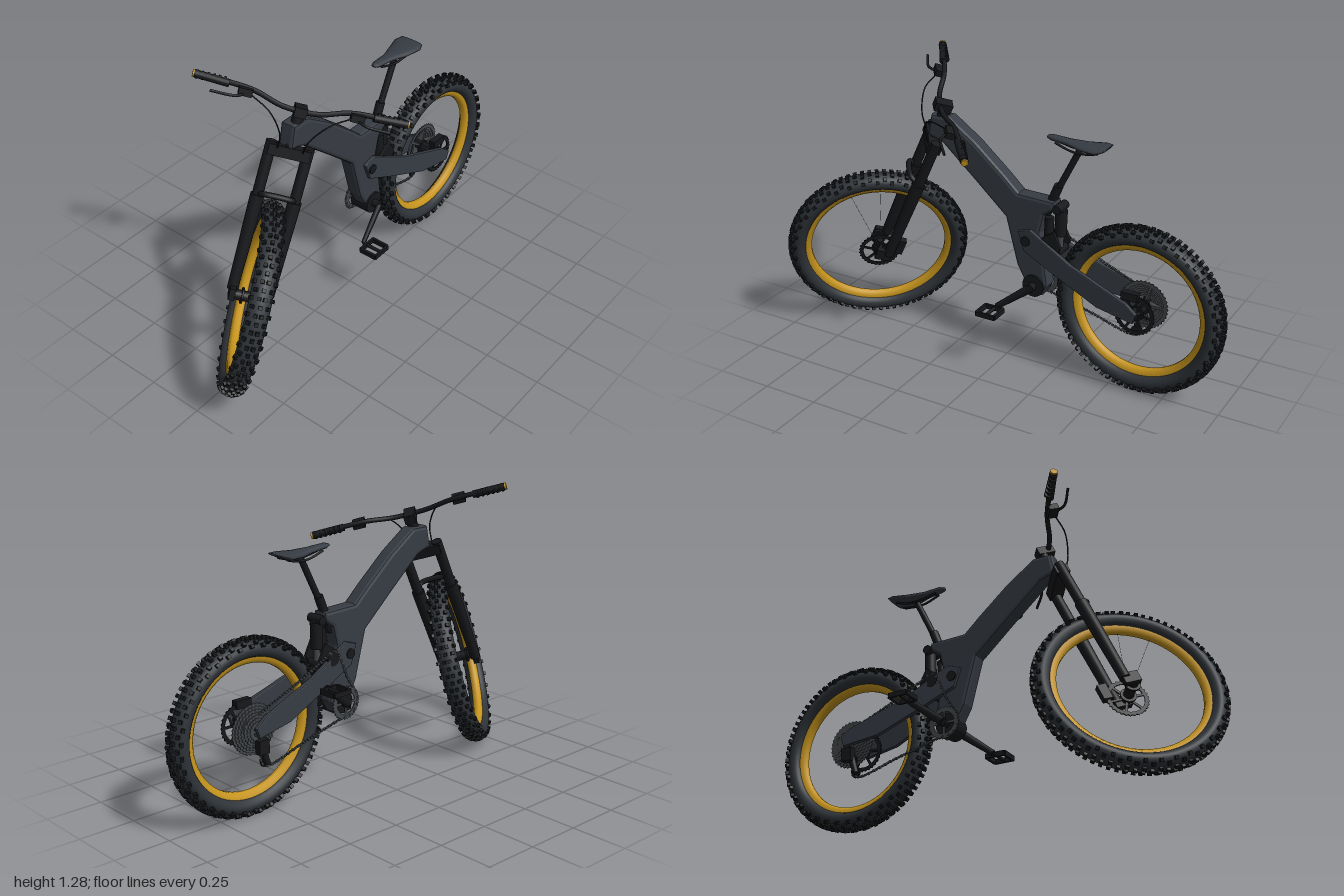
import * as THREE from 'three';
import { mergeGeometries } from 'three/addons/utils/BufferGeometryUtils.js';

const mat = (color) => new THREE.MeshStandardMaterial({ color, side: THREE.DoubleSide });
const FRAME = mat(0x363b43), RUBBER = mat(0x2e3338), BLACK = mat(0x17181b), GOLD = mat(0xc8961e), STEEL = mat(0x44474b);
const V = (x, y, z) => new THREE.Vector3(x, y, z);

function add(parent, name, geo, material, x = 0, y = 0, z = 0) {
  const mesh = new THREE.Mesh(geo, material);
  mesh.name = name;
  mesh.position.set(x, y, z);
  parent.add(mesh);
  return mesh;
}

// Tapered rod between two points
function rod(parent, name, a, b, r1, r2 = r1, material = BLACK, sides = 16) {
  const m = add(parent, name, new THREE.CylinderGeometry(r2, r1, a.distanceTo(b), sides), material);
  m.position.copy(a).lerp(b, 0.5);
  m.quaternion.setFromUnitVectors(V(0, 1, 0), b.clone().sub(a).normalize());
  return m;
}

// Cylinder lying along z
const disc = (parent, name, r, w, x, y, z, material = BLACK, r2 = r) =>
  add(parent, name, new THREE.CylinderGeometry(r, r2, w, 28).rotateX(Math.PI / 2), material, x, y, z);

const tube = (parent, name, pts, r, material = BLACK, closed = false) =>
  add(parent, name, new THREE.TubeGeometry(new THREE.CatmullRomCurve3(pts, closed, 'centripetal'), 36, r, 8, closed), material);

// Side outline extruded to a plate centred on z = 0
function plate(points, width, bevel) {
  const shape = new THREE.Shape(points.map((p) => new THREE.Vector2(...p)));
  return new THREE.ExtrudeGeometry(shape, {
    depth: width - 2 * bevel, bevelEnabled: bevel > 0, bevelSize: bevel, bevelThickness: bevel,
    bevelOffset: -bevel, bevelSegments: 2,
  }).translate(0, 0, bevel - width / 2);
}

// Flat ring with spokes: brake rotor, chainring
function spokedRing(parent, name, outer, inner, spokes, teeth, x, y, z, material = STEEL) {
  const shape = new THREE.Shape();
  for (let i = 0; i < teeth * 2; i++) {
    const a = (i / teeth) * Math.PI, r = outer - (i % 2) * 0.006;
    shape[i ? 'lineTo' : 'moveTo'](r * Math.cos(a), r * Math.sin(a));
  }
  shape.holes.push(new THREE.Path().absarc(0, 0, inner, 0, Math.PI * 2, true));
  const parts = [new THREE.ExtrudeGeometry(shape, { depth: 0.005, bevelEnabled: false }).toNonIndexed()];
  for (let i = 0; i < spokes; i++) {
    parts.push(new THREE.BoxGeometry(inner, 0.011, 0.005).toNonIndexed().translate(inner / 2 + 0.002, 0, 0.0025)
      .rotateZ((i / spokes) * Math.PI * 2));
  }
  return add(parent, name, mergeGeometries(parts), material, x, y, z);
}

// Wheel in the xy plane: knobbly tyre, gold rim, hub
function wheel(name, ringR, knobH) {
  const g = new THREE.Group();
  g.name = name;
  const a = 0.036, b = 0.045, inner = ringR - a;
  add(g, 'tyre', new THREE.TorusGeometry(ringR, a, 16, 72).scale(1, 1, b / a), RUBBER);
  const knobs = [], rows = 76;
  for (let i = 0; i < rows; i++) {
    for (const u of i % 2 ? [-1.05, -0.25, 0.25, 1.05] : [-0.7, 0, 0.7]) {
      knobs.push(new THREE.BoxGeometry(knobH, 0.015, 0.015).rotateY(-u)
        .translate(ringR + (a + knobH * 0.35) * Math.cos(u), 0, (b + knobH * 0.35) * Math.sin(u))
        .rotateZ((i / rows) * Math.PI * 2));
    }
  }
  add(g, 'tyreKnobs', mergeGeometries(knobs), BLACK);
  const rim = [[inner + 0.008, -0.022], [inner - 0.008, -0.02], [inner - 0.022, -0.009], [inner - 0.022, 0.009],
    [inner - 0.008, 0.02], [inner + 0.008, 0.022]].map((p) => new THREE.Vector2(...p));
  add(g, 'rim', new THREE.LatheGeometry(rim, 64).rotateX(Math.PI / 2), GOLD);
  disc(g, 'hub', 0.022, 0.13, 0, 0, 0);
  for (const s of [-1, 1]) disc(g, 'hubFlange', 0.034, 0.008, 0, 0, s * 0.035);
  spokedRing(g, 'brakeRotor', 0.092, 0.072, 6, 30, 0, 0, 0.05, BLACK);
  return g;
}

function buildSteering() {
  const g = new THREE.Group();
  g.name = 'steering';
  g.position.set(-0.375, 0.955, -0.01);
  g.rotation.order = 'ZYX';
  g.rotation.set(0, THREE.MathUtils.degToRad(41), THREE.MathUtils.degToRad(-25));

  const front = wheel('frontWheel', 0.36, 0.012);
  front.position.set(-0.04, -0.625, 0);
  g.add(front);
  for (const a of [1.85, 2.3]) {
    rod(front, 'spoke', V(0, 0, 0.035), V(0.3 * Math.cos(a), 0.3 * Math.sin(a), 0), 0.0007, 0.0007, STEEL, 4);
  }

  // Fork
  add(g, 'forkCrown', new THREE.BoxGeometry(0.06, 0.045, 0.17), BLACK, 0, 0, 0);
  rod(g, 'steererTube', V(0, 0, 0), V(0, 0.19, 0), 0.024);
  for (const s of [-1, 1]) {
    const z = s * 0.076;
    rod(g, 'stanchion', V(0, 0.03, z), V(0, -0.3, z), 0.023);
    rod(g, 'lowerLeg', V(0, -0.62, z), V(0, -0.2, z), 0.023, 0.029);
    add(g, 'dropout', new THREE.BoxGeometry(0.07, 0.05, 0.026), BLACK, -0.022, -0.625, z);
  }
  tube(g, 'forkArch', [V(0, -0.2, -0.07), V(-0.035, -0.185, -0.06), V(-0.045, -0.18, 0), V(-0.035, -0.185, 0.06), V(0, -0.2, 0.07)], 0.012);
  add(g, 'brakeCaliper', new THREE.BoxGeometry(0.04, 0.075, 0.03), BLACK, 0.04, -0.575, 0.055);

  // Stem and handlebar
  add(g, 'stem', new THREE.BoxGeometry(0.075, 0.04, 0.05), BLACK, -0.015, 0.175, 0);
  const bar = [-1, 1].flatMap((s) => {
    const half = [V(0.015, 0.215, s * 0.43), V(0, 0.21, s * 0.2), V(-0.025, 0.18, s * 0.07)];
    return s < 0 ? half : half.reverse();
  });
  tube(g, 'handlebar', bar, 0.011);
  for (const s of [-1, 1]) {
    rod(g, 'grip', V(0.015, 0.215, s * 0.43), V(0.005, 0.211, s * 0.29), 0.016);
    for (let i = 0; i < 6; i++) {
      rod(g, 'gripRib', V(0.015, 0.214, s * (0.305 + i * 0.022)), V(0.015, 0.214, s * (0.314 + i * 0.022)), 0.018);
    }
    rod(g, 'gripCap', V(0.015, 0.215, s * 0.428), V(0.015, 0.215, s * 0.437), 0.015, 0.015, GOLD);
    add(g, 'leverClamp', new THREE.BoxGeometry(0.045, 0.03, 0.055), BLACK, -0.015, 0.2, s * 0.225);
    tube(g, 'brakeLever', [V(-0.02, 0.195, s * 0.22), V(-0.055, 0.185, s * 0.26), V(-0.05, 0.18, s * 0.36)], 0.006);
    tube(g, 'brakeCable', [V(-0.03, 0.195, s * 0.2), V(-0.08, 0.16, s * 0.12), V(-0.07, 0.08, s * 0.06), V(-0.02, 0, s * 0.05)], 0.003);
  }
  return g;
}

function buildFrame() {
  const g = new THREE.Group();
  g.name = 'frame';
  g.position.z = -0.02;
  const outline = [[-0.365, 1.075], [-0.28, 1.075], [-0.15, 0.985], [-0.01, 0.865], [0.06, 0.8], [0.23, 0.795], [0.235, 0.76],
    [0.185, 0.725], [0.165, 0.64], [0.19, 0.5], [0.205, 0.4], [0.175, 0.345], [0.12, 0.35], [0.055, 0.47], [0, 0.68],
    [-0.15, 0.815], [-0.31, 0.955], [-0.385, 0.98]];
  add(g, 'mainFrame', plate(outline, 0.075, 0.015), FRAME);

  // Swingarm sides splay out towards the rear axle
  const arm = [[0.07, 0.635], [0.13, 0.655], [0.33, 0.545], [0.6, 0.445], [0.645, 0.41], [0.63, 0.365], [0.46, 0.39], [0.25, 0.48], [0.1, 0.55]];
  for (const s of [-1, 1]) {
    const geo = plate(arm, 0.02, 0.005), p = geo.attributes.position;
    for (let i = 0; i < p.count; i++) p.setZ(i, p.getZ(i) + s * (0.045 + (p.getX(i) - 0.1) * 0.08));
    geo.computeVertexNormals();
    add(g, 'swingarm', geo, FRAME);
    disc(g, 'pivotCap', 0.022, 0.012, 0.11, 0.6, s * 0.056);
    add(g, 'shockLink', plate([[0.14, 0.6], [0.24, 0.67], [0.275, 0.6], [0.22, 0.52]], 0.014, 0.003), BLACK, 0, 0, s * 0.045);
  }
  disc(g, 'rearAxle', 0.014, 0.19, 0.62, 0.4, 0);
  disc(g, 'bottomBracket', 0.05, 0.09, 0.14, 0.39, 0);

  // Shock
  rod(g, 'shockShaft', V(0.245, 0.56, 0), V(0.25, 0.76, 0), 0.014, 0.014, STEEL);
  rod(g, 'shockBody', V(0.246, 0.64, 0), V(0.25, 0.755, 0), 0.026);
  rod(g, 'shockReservoir', V(0.2, 0.61, 0.02), V(0.205, 0.72, 0.02), 0.02);
  for (const y of [0.57, 0.765]) disc(g, 'shockMount', 0.02, 0.08, 0.245, y, 0);

  // Seat post and saddle built from cross-sections
  rod(g, 'seatTube', V(0.17, 0.7, 0), V(0.235, 0.86, 0), 0.02);
  rod(g, 'seatPost', V(0.225, 0.83, 0), V(0.325, 1.03, 0), 0.014);
  for (const s of [-1, 1]) tube(g, 'saddleRail', [V(0.22, 1.05, s * 0.012), V(0.3, 1.03, s * 0.02), V(0.36, 1.03, s * 0.022), V(0.42, 1.045, s * 0.03)], 0.005);
  const sections = [[0.182, 1.068, 0.012, 0.006], [0.2, 1.067, 0.02, 0.012], [0.28, 1.06, 0.026, 0.014],
    [0.35, 1.055, 0.05, 0.015], [0.42, 1.058, 0.068, 0.015], [0.45, 1.064, 0.055, 0.006]];
  const n = 14, pos = [], idx = [];
  for (const [x, y, w, h] of sections) {
    for (let i = 0; i < n; i++) pos.push(x, y + h * Math.sin(i / n * Math.PI * 2), w * Math.cos(i / n * Math.PI * 2));
  }
  for (let j = 0; j < sections.length - 1; j++) {
    for (let i = 0; i < n; i++) {
      const a = j * n + i, b = j * n + (i + 1) % n;
      idx.push(a, b, a + n, b, b + n, a + n);
    }
  }
  const last = (sections.length - 1) * n;
  for (let i = 1; i < n - 1; i++) idx.push(0, i + 1, i, last, last + i, last + i + 1);
  const saddle = new THREE.BufferGeometry();
  saddle.setAttribute('position', new THREE.Float32BufferAttribute(pos, 3));
  saddle.setIndex(idx);
  saddle.computeVertexNormals();
  add(g, 'saddle', saddle, FRAME);

  const rear = wheel('rearWheel', 0.328, 0.018);
  rear.position.set(0.62, 0.385, 0);
  g.add(rear);
  add(g, 'rearCaliper', new THREE.BoxGeometry(0.075, 0.035, 0.03), BLACK, 0.6, 0.47, 0.055);
  return g;
}

function buildDrivetrain() {
  const g = new THREE.Group();
  g.name = 'drivetrain';
  g.position.z = -0.02;
  disc(g, 'crankAxle', 0.018, 0.15, 0.14, 0.39, 0);
  spokedRing(g, 'chainring', 0.075, 0.05, 4, 30, 0.14, 0.39, -0.062);
  for (let i = 0; i < 7; i++) spokedRing(g, 'sprocket', 0.11 - i * 0.011, 0.09 - i * 0.011, 5, 36 - i * 3, 0.62, 0.39, -0.045 - i * 0.005);

  // Cranks and cage pedals on opposite sides
  for (const s of [-1, 1]) {
    const x = 0.14 - s * 0.145, y = 0.39 - s * 0.11;
    const end = V(x, y, s * 0.1);
    const crank = rod(g, 'crankArm', V(0.14, 0.39, s * 0.075), end, 0.02, 0.014);
    crank.scale.z = 0.7;
    const out = s * 0.16;
    rod(g, 'pedalAxle', end, V(x, y, out + s * 0.045), 0.008);
    for (const d of [-1, 1]) {
      add(g, 'pedalCage', new THREE.BoxGeometry(0.012, 0.022, 0.08), BLACK, x + d * 0.043, y, out);
      add(g, 'pedalCage', new THREE.BoxGeometry(0.09, 0.022, 0.01), BLACK, x, y, out + d * 0.04);
    }
  }

  // Idler, derailleur and chain links
  disc(g, 'idler', 0.032, 0.01, 0.21, 0.6, -0.06);
  add(g, 'derailleurBody', new THREE.BoxGeometry(0.05, 0.06, 0.03), BLACK, 0.61, 0.325, -0.085);
  rod(g, 'derailleurCage', V(0.6, 0.32, -0.07), V(0.575, 0.24, -0.07), 0.014);
  for (const [x, y] of [[0.6, 0.31], [0.58, 0.245]]) disc(g, 'jockeyWheel', 0.022, 0.008, x, y, -0.06);
  const path = new THREE.CatmullRomCurve3([[0.075, 0.4], [0.13, 0.5], [0.2, 0.632], [0.24, 0.615], [0.4, 0.54], [0.59, 0.46],
    [0.68, 0.42], [0.65, 0.335], [0.59, 0.31], [0.6, 0.25], [0.57, 0.225], [0.37, 0.275], [0.17, 0.325], [0.1, 0.34]]
    .map(([x, y]) => V(x, y, -0.06)), true, 'centripetal');
  const links = [], count = 110;
  for (let i = 0; i < count; i++) {
    const p = path.getPointAt(i / count), t = path.getTangentAt(i / count);
    links.push(new THREE.BoxGeometry(0.011, 0.008, i % 2 ? 0.006 : 0.011).rotateZ(Math.atan2(t.y, t.x)).translate(p.x, p.y, p.z));
  }
  add(g, 'chain', mergeGeometries(links), STEEL);
  return g;
}

export function createModel() {
  const model = new THREE.Group();
  model.name = 'mountainBike';
  model.add(buildSteering(), buildFrame(), buildDrivetrain());
  return model;
}
